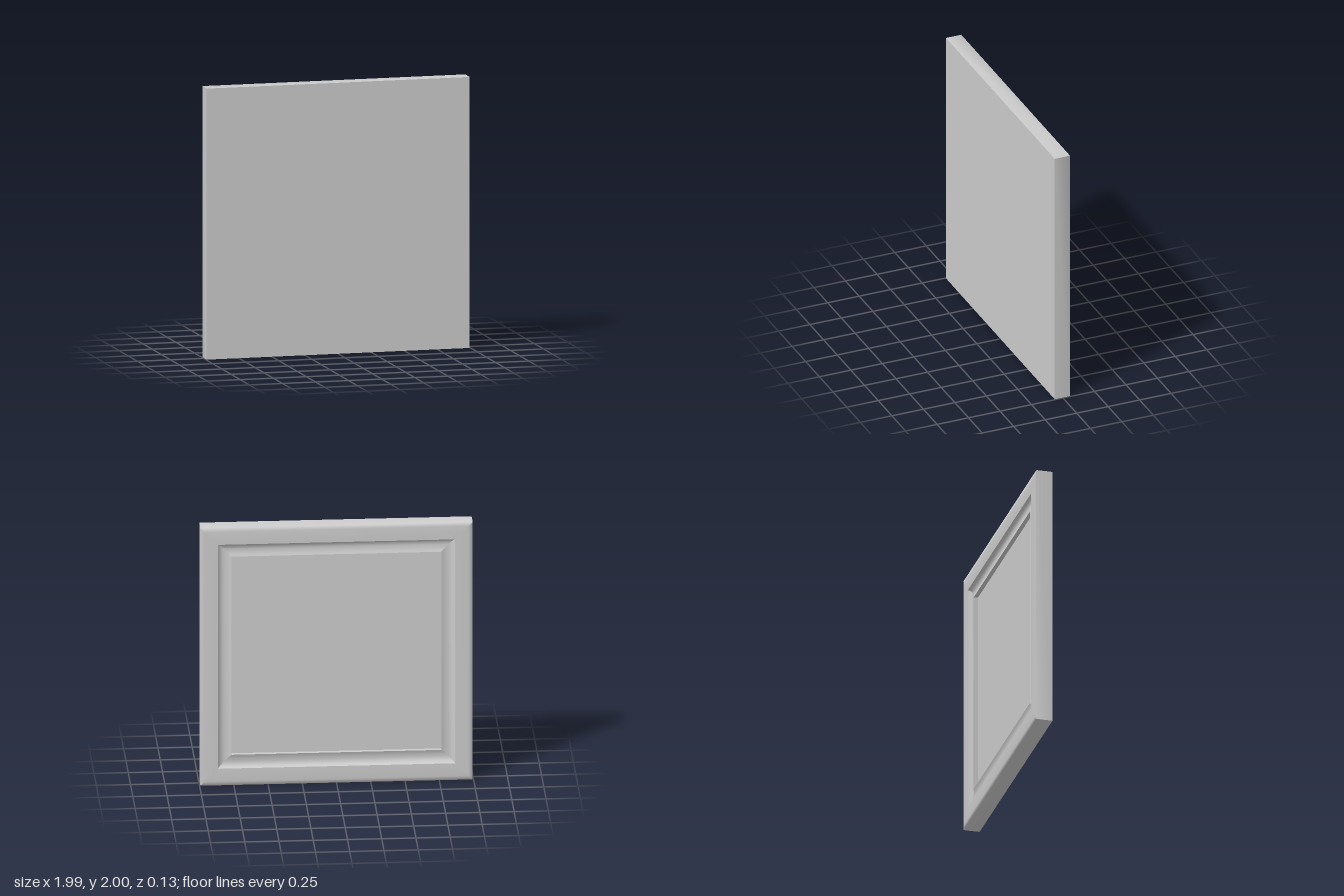
import * as THREE from 'three';

const HALF_X = 0.994, HALF_Y = 1, FRONT = 0.063, PANEL_Z = -0.013, OPENING = 0.77;

// One mitred length of moulding; profile points are [distance from centre, z].
function mouldingStrip(profile, angle) {
  const c = Math.cos(angle), s = Math.sin(angle);
  const positions = [], index = [];
  profile.forEach(([r, z], i) => {
    for (const t of [-r, r]) {
      positions.push((c * r - s * t) * HALF_X, (s * r + c * t) * HALF_Y, z);
    }
    if (i > 0) {
      const a = 2 * (i - 1);
      index.push(a, a + 2, a + 1, a + 1, a + 2, a + 3);
    }
  });
  const geometry = new THREE.BufferGeometry();
  geometry.setAttribute('position', new THREE.Float32BufferAttribute(positions, 3));
  geometry.setIndex(index);
  geometry.computeVertexNormals();
  return geometry;
}

export function createModel() {
  const model = new THREE.Group();
  model.name = 'framedPanel';
  const grey = new THREE.MeshStandardMaterial({ color: 0xcccccc });
  grey.name = 'plain grey';

  const add = (name, geometry, parent) => {
    const mesh = new THREE.Mesh(geometry, grey);
    mesh.name = name;
    parent.add(mesh);
    return mesh;
  };

  const body = new THREE.Group();
  body.name = 'panelBody';
  body.position.y = HALF_Y;
  model.add(body);

  // Smooth runs of the moulding, separated by sharp creases
  const runs = {
    outerRim: [[1, FRONT], [1, -0.058], [0.97, -0.061], [0.92, -0.063], [0.87, -0.062]],
    cove: [[0.87, -0.062], [0.86, -0.046], [0.845, -0.036], [0.825, -0.032],
      [0.8, -0.035], [0.785, -0.039], [OPENING, -0.045]],
    innerStep: [[OPENING, -0.045], [OPENING, PANEL_Z]],
  };

  // Four mitred sides
  ['left', 'top', 'right', 'bottom'].forEach((side, k) => {
    const member = new THREE.Group();
    member.name = side + 'Moulding';
    body.add(member);
    for (const [name, profile] of Object.entries(runs)) {
      add(name, mouldingStrip(profile, k * Math.PI / 2), member);
    }
  });

  // Flat front face and recessed back panel
  add('frontFace', new THREE.PlaneGeometry(2 * HALF_X, 2 * HALF_Y), body).position.z = FRONT;
  const back = add('backPanel',
    new THREE.PlaneGeometry(2 * OPENING * HALF_X, 2 * OPENING * HALF_Y), body);
  back.position.z = PANEL_Z;
  back.rotation.y = Math.PI;

  return model;
}
